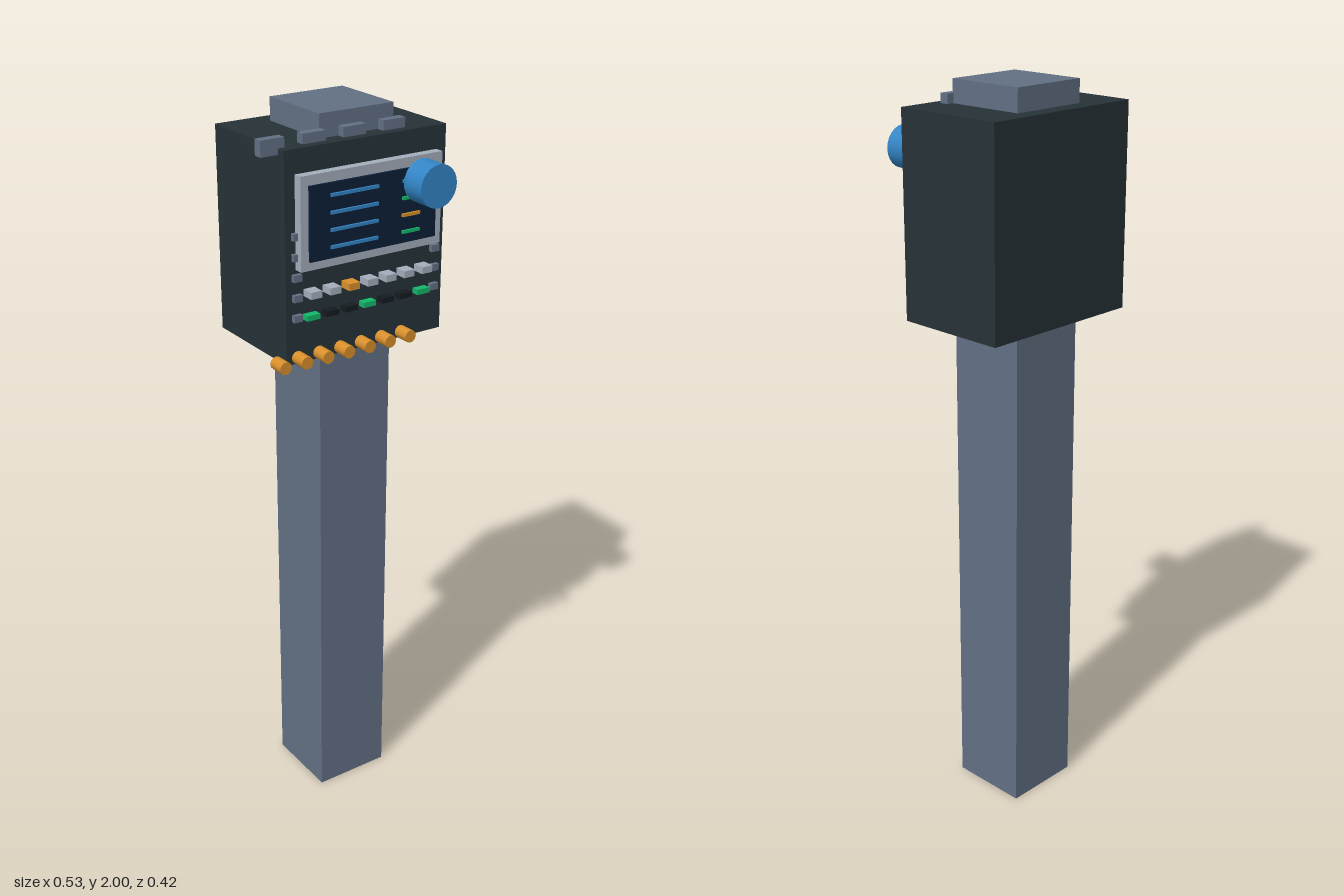
import * as THREE from 'three';

const mat = (name, color) => {
  const m = new THREE.MeshStandardMaterial({ color });
  m.name = name;
  return m;
};

export function createModel() {
  const model = new THREE.Group();
  model.name = 'controlPost';

  const steel = mat('slate grey', 0x627084);
  const casing = mat('dark casing', 0x263238);
  const silver = mat('silver', 0xa3aebb);
  const glass = mat('navy glass', 0x0a1f38);
  const blue = mat('blue', 0x3385c6);
  const orange = mat('amber', 0xd9902c);
  const green = mat('green', 0x12b76a);
  const unlit = mat('unlit lamp', 0x141b20);

  // Box given by its extents on each axis
  const box = (name, m, x0, x1, y0, y1, z0, z1) => {
    const mesh = new THREE.Mesh(new THREE.BoxGeometry(x1 - x0, y1 - y0, z1 - z0), m);
    mesh.position.set((x0 + x1) / 2, (y0 + y1) / 2, (z0 + z1) / 2);
    mesh.name = name;
    model.add(mesh);
  };
  // Cylinder pointing forward along z
  const knob = (name, m, x, y, r, z0, z1, sides) => {
    const geo = new THREE.CylinderGeometry(r, r, z1 - z0, sides).rotateX(Math.PI / 2);
    const mesh = new THREE.Mesh(geo, m);
    mesh.position.set(x, y, (z0 + z1) / 2);
    mesh.name = name;
    model.add(mesh);
  };

  // Post and cabinet
  box('post', steel, -0.083, 0.136, 0, 2, -0.164, 0.057);
  box('cabinet', casing, -0.213, 0.264, 1.4, 1.94, -0.213, 0.105);

  // Tabs along the top front edge
  for (let i = 0; i < 4; i++) {
    const x = -0.228 + i * 0.117;
    box('topTab', steel, x - 0.033, x + 0.033, 1.925, 1.965, 0.055, 0.08);
  }

  // Screen with its bezel and readout lines
  box('bezel', silver, -0.184, 0.236, 1.645, 1.88, 0.1, 0.13);
  box('screen', glass, -0.162, 0.214, 1.668, 1.855, 0.125, 0.138);
  [blue, green, orange, green].forEach((m, i) => {
    const y = 1.826 - i * 0.043;
    box('textLine', blue, -0.105, 0.034, y - 0.004, y + 0.004, 0.138, 0.144);
    box('statusLine', m, 0.108, 0.161, y - 0.004, y + 0.004, 0.138, 0.144);
  });

  // Large dial
  knob('dial', blue, 0.166, 1.82, 0.055, 0.14, 0.21, 24);

  // Small studs down both sides
  for (let i = 0; i < 5; i++) {
    const y = 1.73 - i * 0.052;
    for (const x of [-0.184, 0.235])
      box('stud', steel, x - 0.012, x + 0.012, y - 0.009, y + 0.009, 0.1, 0.117);
  }

  // Buttons, lamps and lower knobs, seven of each
  for (let i = 0; i < 7; i++) {
    const x = -0.146 + i * 0.0563;
    box('button', i === 2 ? orange : silver, x - 0.016, x + 0.016, 1.574, 1.592, 0.1, 0.14);
    box('lamp', i % 3 === 0 ? green : unlit, x - 0.019, x + 0.019, 1.514, 1.528, 0.1, 0.127);
    knob('lowerKnob', orange, -0.249 + i * 0.0632, 1.42, 0.017, 0.112, 0.158, 12);
  }
  return model;
}
